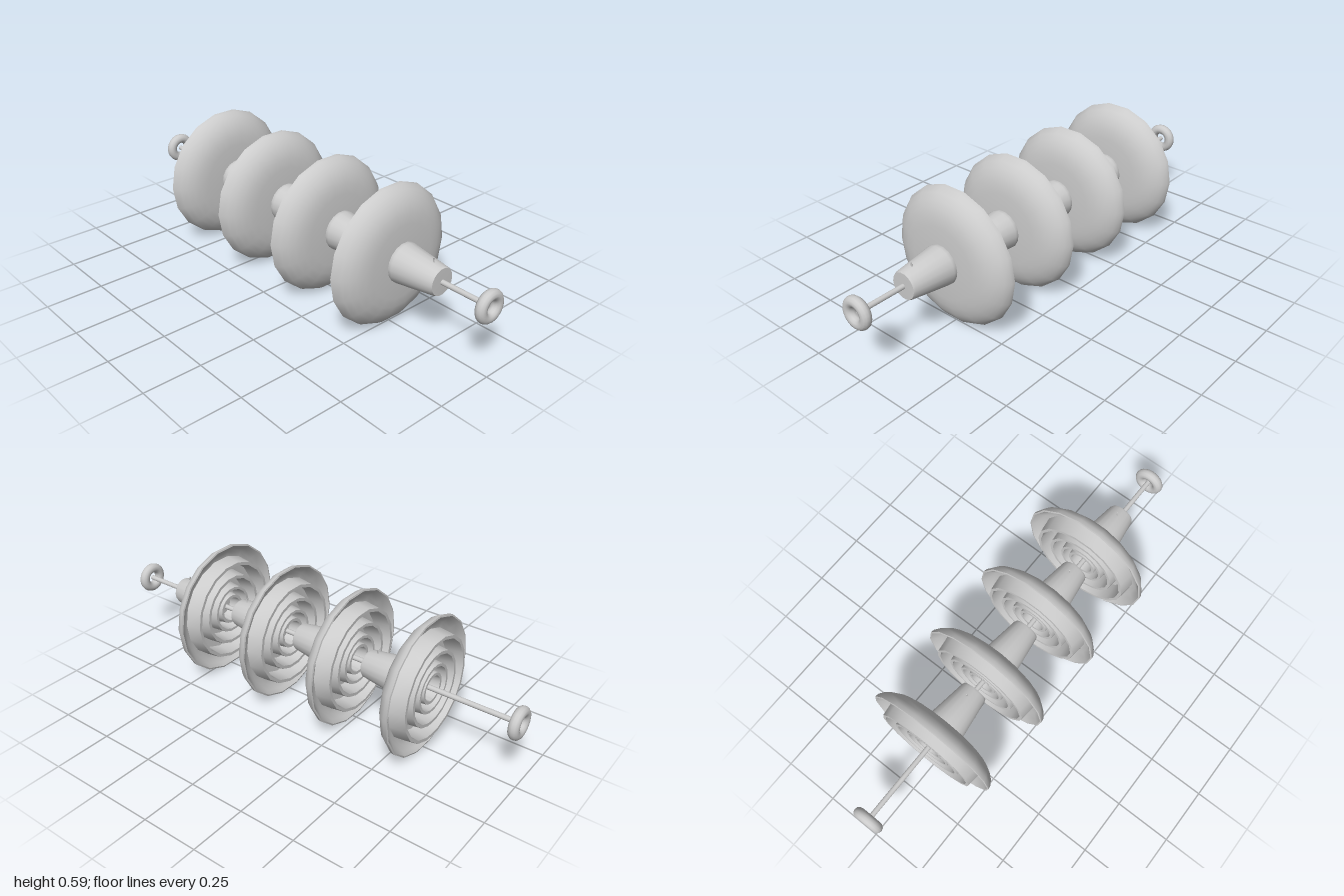
import * as THREE from 'three';
import { toCreasedNormals } from 'three/addons/utils/BufferGeometryUtils.js';

const SIDES = 18;
const AXIS_Y = 0.298;

export function createModel() {
  const model = new THREE.Group();
  model.name = 'insulatorString';
  const material = new THREE.MeshStandardMaterial({ color: 0xcccccc, side: THREE.DoubleSide });

  function add(parent, name, geometry, x = 0, y = 0) {
    const mesh = new THREE.Mesh(geometry, material);
    mesh.name = name;
    mesh.position.set(x, y, 0);
    parent.add(mesh);
    return mesh;
  }

  // Turn a profile of [radius, x] pairs about the x axis
  function turned(profile, crease = 0.65) {
    const points = profile.map(([r, x]) => new THREE.Vector2(r, x));
    const geometry = new THREE.LatheGeometry(points, SIDES);
    geometry.rotateZ(-Math.PI / 2);
    return toCreasedNormals(geometry, crease);
  }

  // Domed upper skin of the disc, from rim to cap
  const shell = turned([
    [0.295, 0], [0.302, 0.002], [0.299, 0.018], [0.284, 0.04], [0.262, 0.058],
    [0.235, 0.073], [0.2, 0.083], [0.16, 0.088], [0.08, 0.09],
  ]);

  // Underside with concentric ribs, from centre to rim
  const underside = turned([
    [0.01, 0.04], [0.05, 0.04], [0.055, -0.02], [0.068, -0.02], [0.075, 0.045],
    [0.088, 0.045], [0.096, -0.025], [0.108, -0.025], [0.115, 0.045],
    [0.14, 0.045], [0.15, -0.03], [0.164, -0.03], [0.172, 0.045],
    [0.205, 0.042], [0.214, -0.035], [0.228, -0.035], [0.237, 0.035],
    [0.258, 0.032], [0.28, 0.015], [0.295, 0],
  ]);

  // Tapered socket cap
  const cap = turned([
    [0.08, 0.08], [0.086, 0.092], [0.085, 0.105], [0.061, 0.278],
    [0.057, 0.287], [0.01, 0.288],
  ]);

  const pin = new THREE.CylinderGeometry(0.003, 0.003, 0.03, 6);

  // Four identical discs; the second has its pin underneath
  for (let i = 0; i < 4; i++) {
    const unit = new THREE.Group();
    unit.name = 'discUnit' + (i + 1);
    unit.position.set(-0.587 + i * 0.353, AXIS_Y, 0);
    add(unit, 'shell', shell);
    add(unit, 'ribbedUnderside', underside);
    add(unit, 'cap', cap);
    add(unit, 'lockingPin', pin, 0.24, i === 1 ? -0.068 : 0.068);
    model.add(unit);
  }

  // Central rod
  const rod = new THREE.CylinderGeometry(0.011, 0.011, 1.95, 12);
  rod.rotateZ(Math.PI / 2);
  add(model, 'rod', rod, 0, AXIS_Y);

  // End rings
  const ring = new THREE.TorusGeometry(0.047, 0.0225, 12, 24);
  ring.rotateY(Math.PI / 2);
  for (const side of [-1, 1]) {
    add(model, side < 0 ? 'rightEndRing' : 'leftEndRing', ring, side * 0.9775, AXIS_Y);
  }

  return model;
}
